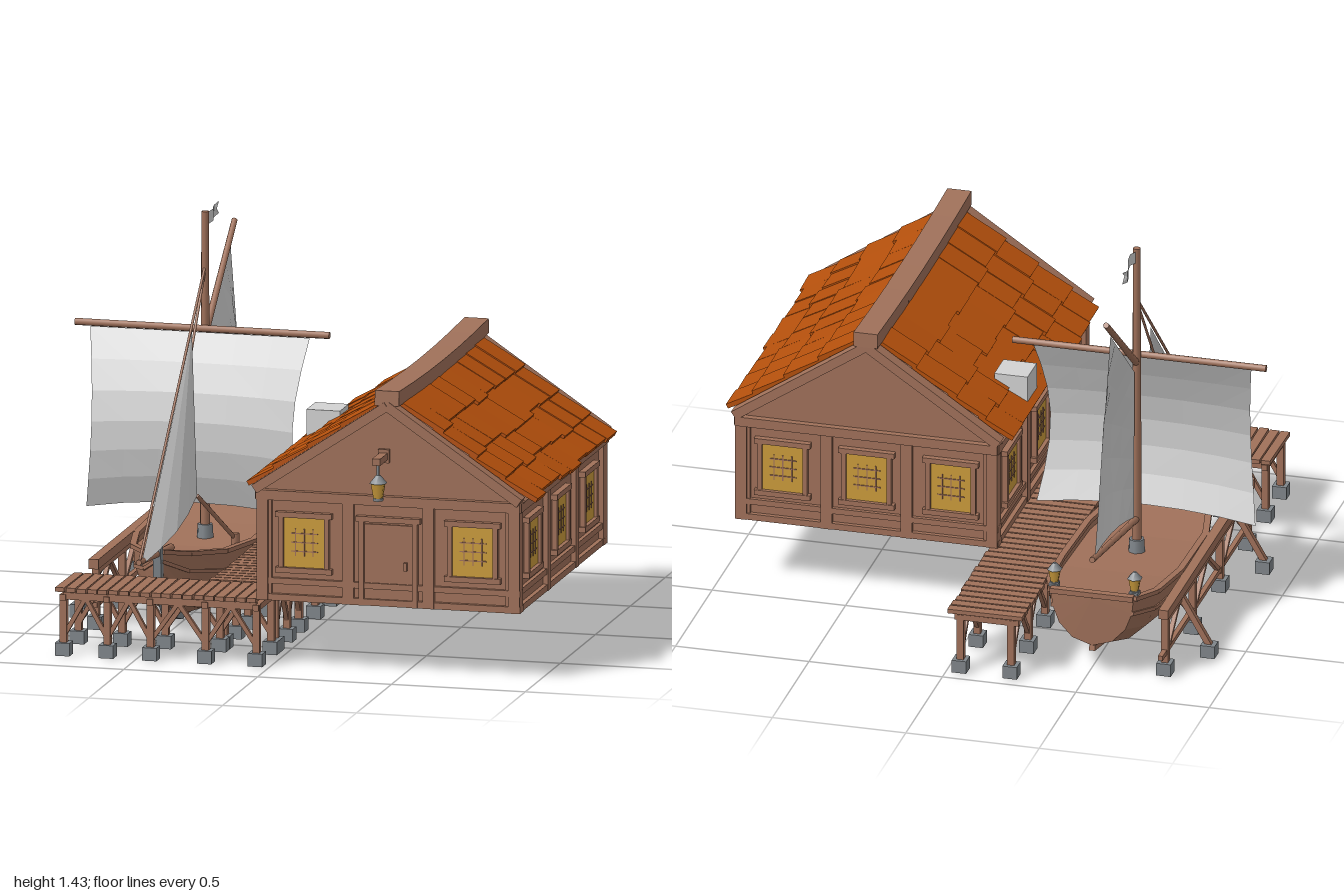
import * as THREE from 'three';

const V = (x, y, z) => new THREE.Vector3(x, y, z);
const mat = (name, color, side = THREE.FrontSide) => {
  const m = new THREE.MeshStandardMaterial({ color, side });
  m.name = name;
  return m;
};

export function createModel() {
  const root = new THREE.Group();
  const wood = mat('wood', 0xa0715a), hullWood = mat('hullWood', 0xa0715a, THREE.DoubleSide);
  const tileMat = mat('roofTile', 0xb5500c), glass = mat('windowGlass', 0xcc9c3c);
  const stone = mat('stone', 0x80868b), cloth = mat('cloth', 0xd3d3d3, THREE.DoubleSide);
  let seed = 7;
  const rnd = () => ((seed = (seed * 16807) % 2147483647) / 2147483647) - 0.5;

  const group = (name, parent = root) => {
    const g = new THREE.Group();
    g.name = name;
    parent.add(g);
    return g;
  };
  const add = (p, name, geo, m, x = 0, y = 0, z = 0) => {
    const o = new THREE.Mesh(geo, m);
    o.name = name;
    o.position.set(x, y, z);
    p.add(o);
    return o;
  };
  const box = (p, name, m, w, h, d, x, y, z) => add(p, name, new THREE.BoxGeometry(w, h, d), m, x, y, z);
  // Rectangular beam from a to b
  const bar = (p, name, m, a, b, w, h = w) => {
    const c = a.clone().add(b).multiplyScalar(0.5);
    const o = box(p, name, m, w, h, a.distanceTo(b), c.x, c.y, c.z);
    o.lookAt(b);
    return o;
  };
  // Round pole from a to b
  const pole = (p, name, m, a, b, r, r2 = r) => {
    const c = a.clone().add(b).multiplyScalar(0.5);
    const o = add(p, name, new THREE.CylinderGeometry(r2, r, a.distanceTo(b), 8), m, c.x, c.y, c.z);
    o.quaternion.setFromUnitVectors(V(0, 1, 0), b.clone().sub(a).normalize());
  };
  // Flat-shaded skin over rows of points
  const loft = (rows) => {
    const pts = [];
    for (let i = 0; i < rows.length - 1; i++) for (let j = 0; j < rows[0].length - 1; j++) {
      const a = rows[i][j], b = rows[i][j + 1], c = rows[i + 1][j + 1], d = rows[i + 1][j];
      pts.push(a, b, c, a, c, d);
    }
    const g = new THREE.BufferGeometry().setFromPoints(pts);
    g.computeVertexNormals();
    return g;
  };
  // Grid of points from a rule on (u, v)
  const surface = (nu, nv, f) => loft(Array.from({ length: nu + 1 }, (_, i) =>
    Array.from({ length: nv + 1 }, (_, j) => f(i / nu, j / nv))));
  const lantern = (p, x, y, z, s = 1) => {
    const g = group('lantern', p);
    g.position.set(x, y, z);
    g.scale.setScalar(s);
    add(g, 'lanternCap', new THREE.CylinderGeometry(0.008, 0.034, 0.03, 6), stone, 0, 0.08, 0);
    add(g, 'lanternGlass', new THREE.CylinderGeometry(0.028, 0.018, 0.055, 6), glass, 0, 0.038, 0);
    add(g, 'lanternBase', new THREE.CylinderGeometry(0.02, 0.02, 0.01, 6), stone, 0, 0.005, 0);
  };

  // House walls: posts, rails, windows and door
  const house = group('house');
  const CX = 0.4475, CZ = 0.22;
  const wall = (name, w, postXs, bays, x, z, turn) => {
    const g = group(name, house);
    g.position.set(x, 0, z);
    g.rotation.y = turn;
    box(g, 'wallPanel', wood, w - 0.03, 0.39, 0.02, 0, 0.445, -0.01);
    postXs.forEach((px) => box(g, 'post', wood, 0.042, 0.39, 0.055, px, 0.445, -0.008));
    [[0.64, 0.036, 0.065], [0.322, 0.022, 0.045], [0.262, 0.024, 0.05]].forEach(([y, h, d]) =>
      box(g, 'rail', wood, w, h, d, 0, y, -0.008));
    bays.forEach(([bx, door]) => {
      const hw = door ? 0.1 : 0.085, lo = door ? 0.25 : 0.365, hi = 0.57;
      const mid = (lo + hi) / 2;
      for (const s of [-1, 1]) box(g, 'frameSide', wood, 0.018, hi - lo, 0.06, bx + s * hw, mid, -0.01);
      box(g, 'frameTop', wood, hw * 2 + 0.04, 0.02, 0.066, bx, hi, -0.01);
      if (door) {
        box(g, 'door', wood, 0.18, 0.3, 0.035, bx, 0.4, -0.01);
        box(g, 'doorHandle', wood, 0.012, 0.03, 0.02, bx + 0.065, 0.4, 0.015);
        return;
      }
      box(g, 'frameSill', wood, hw * 2 + 0.04, 0.02, 0.066, bx, lo, -0.01);
      box(g, 'windowPane', glass, 0.155, 0.19, 0.008, bx, mid, 0.004);
      for (const k of [-1, 0, 1]) {
        box(g, 'muntin', wood, 0.004, 0.1, 0.004, bx + k * 0.033, mid, 0.009);
        box(g, 'muntin', wood, 0.1, 0.004, 0.004, bx, mid + k * 0.033, 0.009);
      }
    });
  };
  const endPosts = [-0.47, -0.15, 0.15, 0.47], sidePosts = [-0.6, -0.2, 0.2, 0.6];
  const sideBays = [[-0.4], [0], [0.4]];
  wall('frontWall', 0.985, endPosts, [[-0.315], [0, true], [0.315]], CX, 0.83, 0);
  wall('backWall', 0.985, endPosts, [[-0.315], [0], [0.315]], CX, -0.39, Math.PI);
  wall('rightWall', 1.25, sidePosts, sideBays, 0.92, CZ, Math.PI / 2);
  wall('leftWall', 1.25, sidePosts, sideBays, -0.025, CZ, -Math.PI / 2);

  // Gables with bargeboards
  const tri = new THREE.Shape([[-0.47, 0.655], [0.47, 0.655], [0, 0.99]].map((p) => new THREE.Vector2(...p)));
  for (const [z, out] of [[0.8, 0.845], [-0.39, -0.392]]) {
    add(house, 'gable', new THREE.ExtrudeGeometry(tri, { depth: 0.03, bevelEnabled: false }), wood, CX, 0, z);
    for (const s of [-1, 1])
      bar(house, 'bargeboard', wood, V(CX, 0.995, out), V(CX + s * 0.495, 0.662, out), 0.05, 0.035);
  }

  // Roof: decks, sagging ridge and overlapping tiles
  const roof = group('roof', house);
  const sag = (z) => -0.016 * (1 - ((z - CZ) / 0.64) ** 2);
  for (let i = 0; i < 6; i++) {
    const z0 = -0.42 + i * 0.2142, z1 = z0 + 0.2142;
    bar(roof, 'ridgeBeam', wood, V(CX, 1.024 + sag(z0), z0), V(CX, 1.024 + sag(z1), z1), 0.09, 0.055);
  }
  const rowEnds = [0.03, 0.185, 0.32, 0.435, 0.535];
  for (const s of [-1, 1]) {
    bar(roof, 'roofDeck', wood, V(CX, 0.99, CZ), V(CX + s * 0.5, 0.655, CZ), 1.19, 0.014);
    for (let r = 0; r < 4; r++) for (let c = 0; c < 9; c++) {
      const z = -0.355 + (c + 0.5) * 0.129, d0 = rowEnds[r] - 0.03, d1 = rowEnds[r + 1] + rnd() * 0.022;
      const y = (d, lift) => 1.02 - 0.68 * d + lift + sag(z) * (1 - d);
      const t = bar(roof, 'roofTile', tileMat, V(CX + s * d0, y(d0, -0.004), z),
        V(CX + s * d1, y(d1, 0.014), z), 0.13, 0.018);
      t.rotateZ(rnd() * 0.06);
    }
  }
  box(house, 'roofBox', cloth, 0.125, 0.125, 0.125, -0.002, 0.722, -0.008);

  // Hanging lantern over the door
  box(house, 'lanternArm', wood, 0.03, 0.025, 0.13, 0.43, 0.805, 0.885);
  box(house, 'lanternPlate', wood, 0.04, 0.05, 0.02, 0.43, 0.805, 0.835);
  pole(house, 'lanternHook', stone, V(0.43, 0.8, 0.925), V(0.43, 0.74, 0.925), 0.005);
  lantern(house, 0.43, 0.657, 0.922);

  // Piers: trestles with stone feet, braces and planks
  const trestle = (p, pts, brace = true) => {
    pts.forEach((a, i) => {
      box(p, 'foot', stone, 0.054, 0.048, 0.054, a.x, 0.024, a.z);
      box(p, 'pile', wood, 0.026, 0.18, 0.026, a.x, 0.135, a.z);
      const b = pts[i + 1];
      if (!b) return;
      const m = a.clone().lerp(b, 0.5).setY(0.215);
      bar(p, 'stringer', wood, a.clone().setY(0.22), b.clone().setY(0.22), 0.026);
      if (brace) for (const q of [a, b]) bar(p, 'brace', wood, q.clone().setY(0.07), m, 0.016);
    });
  };
  const longPier = group('longPier'), frontPier = group('frontPier');
  const zs = [-0.93, -0.7, -0.47, -0.24, -0.015, 0.215, 0.385, 0.555];
  const xs = [-0.77, -0.607, -0.445, -0.24, -0.05];
  for (const x of [-0.24, -0.05]) trestle(longPier, zs.map((z) => V(x, 0, z)));
  for (const z of [0.61, 0.82]) trestle(frontPier, xs.map((x) => V(x, 0, z)));
  zs.forEach((z) => bar(longPier, 'crossBeam', wood, V(-0.27, 0.215, z), V(-0.03, 0.215, z), 0.022));
  xs.forEach((x) => bar(frontPier, 'crossBeam', wood, V(x, 0.215, 0.59), V(x, 0.215, 0.84), 0.022));
  for (let i = 0; i < 35; i++)
    box(longPier, 'plank', wood, 0.275 + rnd() * 0.012, 0.016, 0.037, -0.15 + rnd() * 0.008, 0.243, -0.94 + i * 0.0437)
      .rotation.y = rnd() * 0.025;
  for (let i = 0; i < 19; i++)
    box(frontPier, 'plank', wood, 0.034, 0.016, 0.265 + rnd() * 0.012, -0.78 + i * 0.0397, 0.243, 0.71 + rnd() * 0.008)
      .rotation.y = rnd() * 0.025;

  // Mooring rail beside the boat
  const rail = group('mooringRail');
  trestle(rail, [0.36, -0.013, -0.387, -0.76].map((z) => V(-0.77, 0, z)));
  bar(rail, 'topRail', wood, V(-0.77, 0.245, 0.4), V(-0.77, 0.245, -0.79), 0.036);
  bar(rail, 'lowRail', wood, V(-0.77, 0.09, 0.38), V(-0.77, 0.09, -0.83), 0.018);
  for (const z of [0.18, -0.57]) {
    box(rail, 'foot', stone, 0.054, 0.048, 0.054, -0.882, 0.024, z);
    bar(rail, 'outrigger', wood, V(-0.885, 0.04, z), V(-0.78, 0.22, z), 0.022);
  }

  // Hull from stations: z, half width, keel height, sheer height
  const boat = group('boat');
  const BX = -0.52;
  const stations = [[-0.85, 0.155, 0.12, 0.325], [-0.7, 0.2, 0.065, 0.295], [-0.45, 0.222, 0.025, 0.268],
    [-0.1, 0.22, 0.015, 0.255], [0.13, 0.172, 0.015, 0.262], [0.31, 0.085, 0.07, 0.285], [0.42, 0.012, 0.19, 0.31]];
  const rib = [[1, 1], [0.96, 0.7], [0.8, 0.38], [0.48, 0.12], [0, 0]];
  const section = [...rib.map(([a, b]) => [-a, b]), ...rib.slice(0, 4).reverse()];
  const rows = stations.map(([z, w, k, s]) => section.map(([a, b]) => V(BX + a * w, k + b * (s - k), z)));
  add(boat, 'hull', loft(rows), hullWood);
  add(boat, 'transom', loft([rows[0], rows[0].map(() => V(BX, 0.31, -0.855))]), hullWood);
  add(boat, 'deck', loft(stations.map(([z, w, , s]) => [-1, 1].map((a) => V(BX + a * w * 0.975, s - 0.035, z)))), hullWood);
  for (let i = 0; i < 6; i++) {
    for (const j of [0, 8]) bar(boat, 'gunwale', wood, rows[i][j], rows[i + 1][j], 0.024, 0.016);
    for (const j of [1, 7]) bar(boat, 'rubbingStrake', wood, rows[i][j], rows[i + 1][j], 0.012, 0.014);
  }
  bar(boat, 'sternRail', wood, rows[0][0], rows[0][8], 0.028, 0.02);
  bar(boat, 'keel', wood, V(BX, 0.012, 0.13), V(BX, 0.014, -0.4), 0.022, 0.02);
  bar(boat, 'keel', wood, V(BX, 0.014, -0.4), V(BX, 0.11, -0.85), 0.022, 0.02);
  [[0.12, 0.015], [0.31, 0.065], [0.425, 0.19], [0.44, 0.35]].forEach(([z, y], i, a) => {
    if (i) bar(boat, 'stem', stone, V(BX, a[i - 1][1], a[i - 1][0]), V(BX, y, z), 0.03, 0.035);
  });
  for (const s of [-1, 1]) {
    box(boat, 'lanternStand', stone, 0.035, 0.03, 0.035, BX + s * 0.15, 0.325, -0.82);
    lantern(boat, BX + s * 0.15, 0.335, -0.815, 0.85);
  }

  // Mast, spars and stays
  const MZ = -0.24;
  pole(boat, 'mast', wood, V(BX, 0.2, MZ), V(BX, 1.43, MZ), 0.019, 0.014);
  add(boat, 'mastStep', new THREE.CylinderGeometry(0.028, 0.032, 0.06, 8), stone, BX, 0.245, MZ);
  pole(boat, 'yard', wood, V(-1, 1, -0.22), V(-0.05, 1, -0.22), 0.013);
  pole(boat, 'gaff', wood, V(BX, 0.98, -0.25), V(BX, 1.31, -0.66), 0.013, 0.011);
  pole(boat, 'boom', wood, V(BX, 0.355, -0.25), V(BX, 0.46, -0.85), 0.013, 0.011);
  pole(boat, 'bowsprit', wood, V(BX, 0.29, 0.25), V(BX, 0.33, 0.71), 0.015, 0.011);
  pole(boat, 'foreStay', wood, V(BX, 1.23, MZ), V(BX, 0.33, 0.7), 0.005);
  pole(boat, 'innerStay', wood, V(BX, 1.22, MZ), V(BX, 0.32, 0.43), 0.005);
  pole(boat, 'jibSheet', wood, V(-0.43, 0.48, 0.22), V(-0.345, 0.28, 0), 0.008);
  pole(boat, 'cleat', wood, V(-0.345, 0.24, 0), V(-0.345, 0.3, 0), 0.016);

  // Sails and pennant
  add(boat, 'squareSail', surface(6, 6, (u, v) => {
    const w = 0.41 - 0.035 * Math.sin(Math.PI * u), a = v * 2 - 1;
    const belly = Math.sin(Math.PI * Math.min(1, u * 0.85)) * 0.12;
    return V(-0.53 + a * w, 0.99 - u * (0.655 - 0.035 * (1 - a * a)), -0.205 + belly);
  }), cloth);
  add(boat, 'gaffSail', surface(5, 5, (u, v) => {
    const top = V(BX, 0.95, -0.27).lerp(V(BX, 1.24, -0.6), v);
    const foot = V(BX, 0.375, -0.28).lerp(V(BX, 0.46, -0.81), v);
    foot.y += 0.025 * Math.sin(Math.PI * v);
    const p = top.lerp(foot, u);
    p.x += 0.045 * Math.sin(Math.PI * u) * Math.sin(Math.PI * v);
    return p;
  }), cloth);
  add(boat, 'jib', surface(5, 4, (u, v) => {
    const head = V(BX, 1.03, -0.05);
    const p = head.clone().lerp(V(BX, 0.31, 0.68), u).lerp(head.lerp(V(-0.43, 0.48, 0.22), u), v);
    p.x += 0.03 * u * Math.sin(Math.PI * v);
    return p;
  }), cloth);
  add(boat, 'pennant', surface(5, 2, (u, v) => {
    const notch = u === 1 && v === 0.5 ? 0.03 : 0;
    return V(BX + 0.012 * Math.sin(u * 6), 1.42 - v * 0.045 + 0.006 * Math.sin(u * 7), -0.25 - u * 0.2 + notch);
  }), cloth);
  return root;
}
